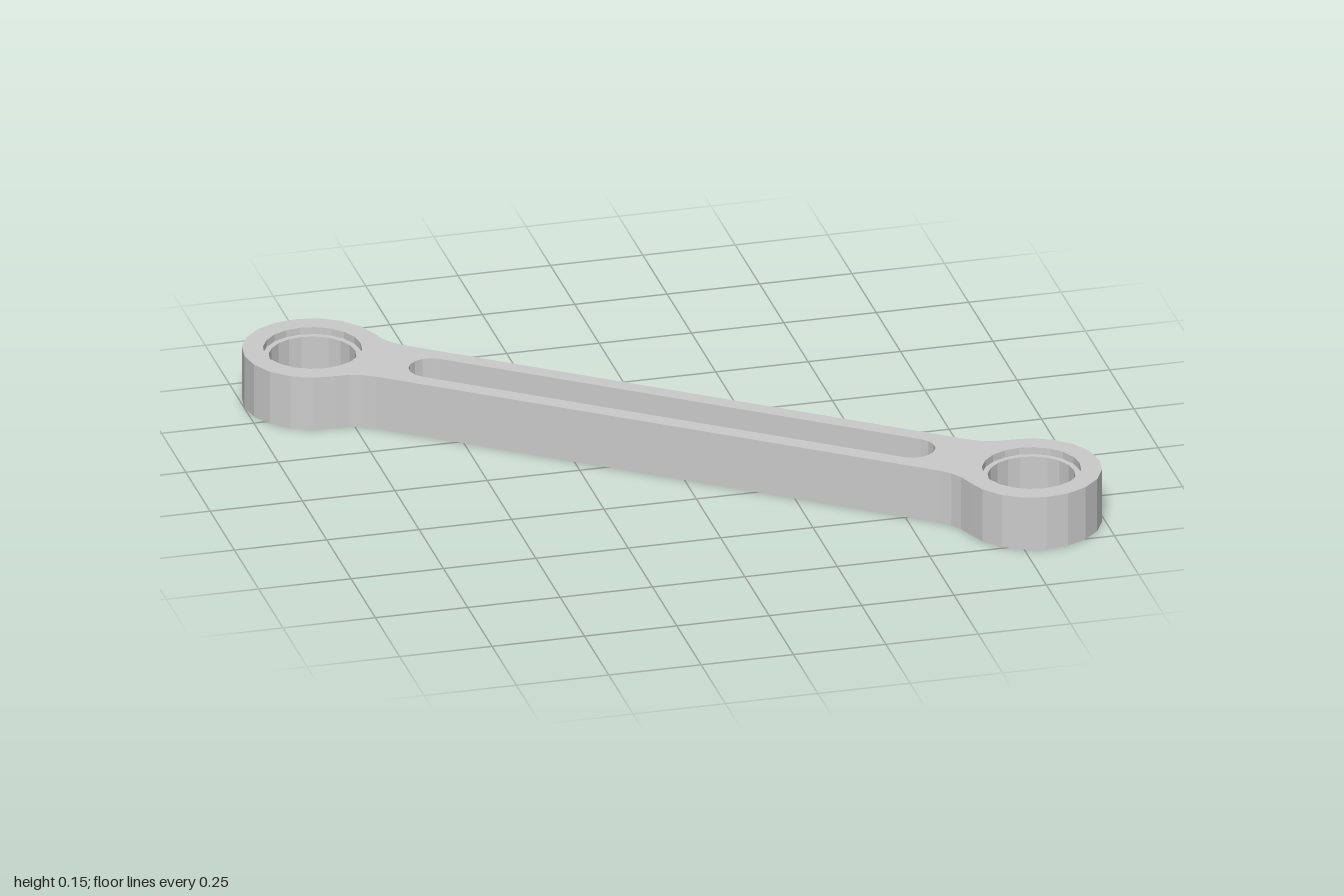
import * as THREE from 'three';
import { mergeGeometries } from 'three/addons/utils/BufferGeometryUtils.js';

const HEIGHT = 0.15, LEDGE = 0.13, FLOOR = 0.05;   // levels above the ground
const REACH = 1.012;                               // eye centre from the middle
const EYE_R = 0.185, BORE_R = 0.115, RECESS_R = 0.13;
const HALF_W = 0.104, FILLET_R = 0.15;
const SLOT_R = 0.06, SLOT_X = 0.677;

// Points on an arc, both ends included
function arc(cx, cy, r, from, to, n) {
  return Array.from({ length: n + 1 }, (_, i) => {
    const a = from + (to - from) * i / n;
    return new THREE.Vector2(cx + r * Math.cos(a), cy + r * Math.sin(a));
  });
}
const circle = (cx, r) => arc(cx, 0, r, 0, Math.PI * 2, 20).slice(0, -1);
const turned = pts => pts.map(p => new THREE.Vector2(-p.x, -p.y));

// Vertical wall along a closed loop; it faces right of the direction of travel
function wall(pts, y0, y1) {
  const v = [];
  pts.forEach((a, i) => {
    const b = pts[(i + 1) % pts.length];
    v.push(a.x, y0, -a.y, b.x, y0, -b.y, b.x, y1, -b.y);
    v.push(a.x, y0, -a.y, b.x, y1, -b.y, a.x, y1, -a.y);
  });
  const g = new THREE.BufferGeometry();
  g.setAttribute('position', new THREE.Float32BufferAttribute(v, 3));
  g.computeVertexNormals();
  return g;
}
const innerWall = (pts, y0, y1) => wall([...pts].reverse(), y0, y1);

// Flat face with holes at a given level
function face(pts, holes, y, up = true) {
  const shape = new THREE.Shape(pts);
  shape.holes = holes.map(h => new THREE.Path(h));
  let g = new THREE.ShapeGeometry(shape);
  if (!up) g.setIndex(Array.from(g.index.array).reverse());
  g = g.toNonIndexed();
  g.deleteAttribute('uv');
  g.rotateX(-Math.PI / 2).translate(0, y, 0);
  g.computeVertexNormals();
  return g;
}

export function createModel() {
  const group = new THREE.Group();
  group.name = 'connectingRod';
  const material = new THREE.MeshStandardMaterial({ color: 0xcccccc, flatShading: true });
  const add = (name, parts) => {
    const mesh = new THREE.Mesh(mergeGeometries(parts), material);
    mesh.name = name;
    group.add(mesh);
  };

  // Outline: round eye blended into the straight shank, repeated by a half turn
  const fy = HALF_W + FILLET_R;
  const fx = Math.sqrt((EYE_R + FILLET_R) ** 2 - fy ** 2);
  const t = Math.atan2(fy, fx), join = Math.PI - t;
  const half = [
    ...arc(REACH - fx, -fy, FILLET_R, Math.PI / 2, t, 3).slice(0, -1),
    ...arc(REACH, 0, EYE_R, -join, join, 14),
    ...arc(REACH - fx, fy, FILLET_R, -t, -Math.PI / 2, 3).slice(1),
  ];
  const outline = [...half, ...turned(half)];

  // Rounded slot
  const slotEnd = arc(SLOT_X, 0, SLOT_R, -Math.PI / 2, Math.PI / 2, 8);
  const slot = [...slotEnd, ...turned(slotEnd)];

  const ends = [-REACH, REACH];
  const bores = ends.map(x => circle(x, BORE_R));
  const recesses = ends.map(x => circle(x, RECESS_R));

  // Outer body
  add('rodBody', [
    wall(outline, 0, HEIGHT),
    face(outline, [slot, ...recesses], HEIGHT),
    face(outline, bores, 0, false),
  ]);

  // Blind pocket in the shank
  add('shankPocket', [innerWall(slot, FLOOR, HEIGHT), face(slot, [], FLOOR)]);

  // Stepped bores through both eyes
  ends.forEach((x, i) => add(x < 0 ? 'rightEyeBore' : 'leftEyeBore', [
    innerWall(bores[i], 0, LEDGE),
    face(recesses[i], [bores[i]], LEDGE),
    innerWall(recesses[i], LEDGE, HEIGHT),
  ]));

  // The rod lies diagonally on the ground
  group.rotation.y = -Math.atan2(0.6, 0.815);
  const model = new THREE.Group();
  model.name = 'model';
  model.add(group);
  return model;
}
